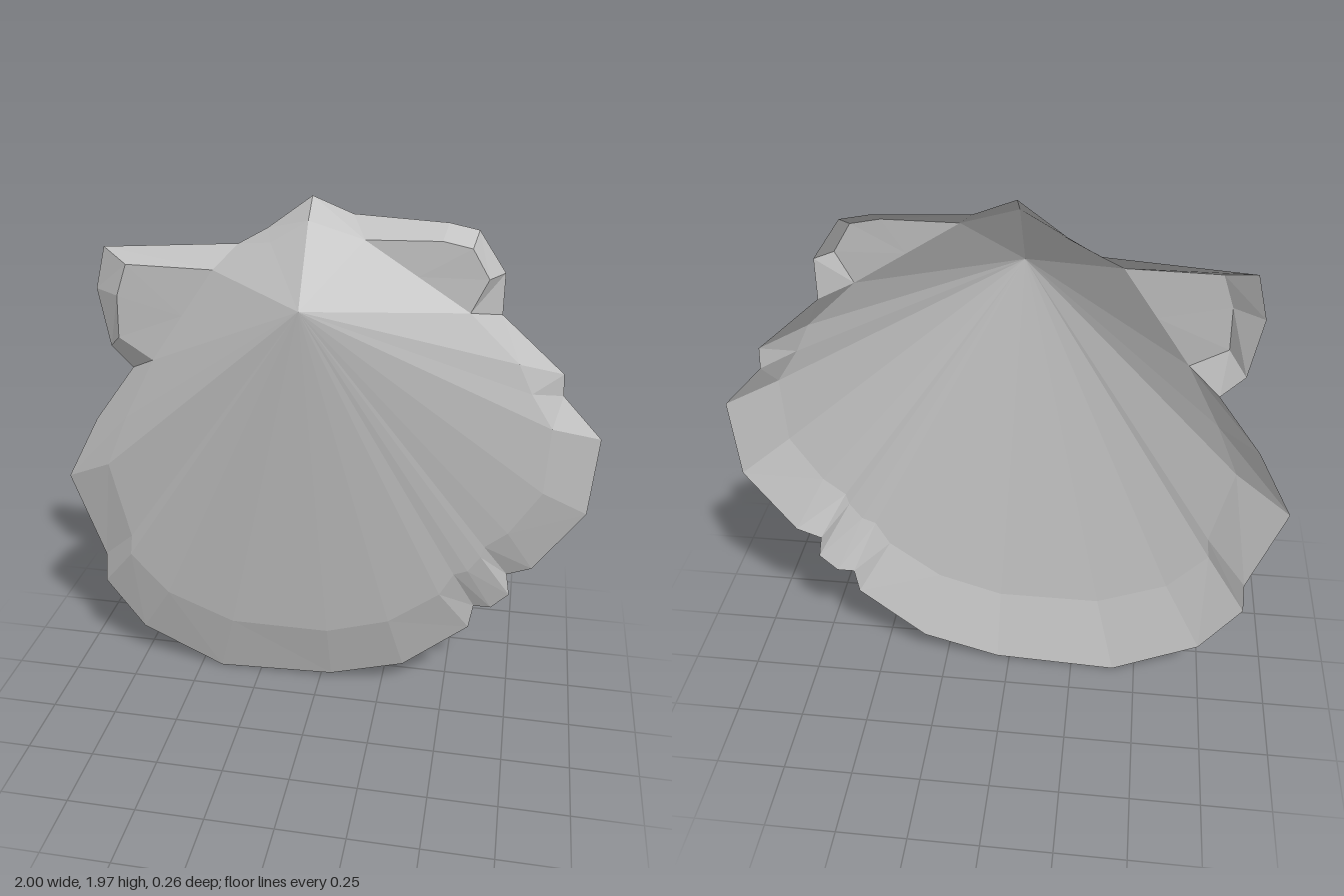
import * as THREE from 'three';

// Contour clockwise from the hinge tip: [rim x, rim y, shoulder x, shoulder y]
const contour = [
  [-0.03, 1.965, -0.03, 1.9], [0.11, 1.91, 0.16, 1.845],
  [0.43, 1.895, 0.415, 1.85], [0.53, 1.875, 0.515, 1.83], [0.625, 1.735, 0.575, 1.73], // left ear
  [0.625, 1.59, 0.52, 1.615], [0.85, 1.39, 0.695, 1.445], [0.855, 1.31, 0.745, 1.34],
  [1, 1.155, 0.825, 1.215], [0.98, 0.855, 0.815, 0.965], [0.805, 0.605, 0.705, 0.79],
  [0.715, 0.57, 0.625, 0.725], [0.73, 0.48, 0.615, 0.68], [0.665, 0.415, 0.57, 0.615],
  [0.6, 0.415, 0.52, 0.595], [0.585, 0.315, 0.47, 0.5], [0.335, 0.105, 0.28, 0.355],
  [0.045, 0.02, 0.04, 0.28], [-0.415, 0, -0.34, 0.28], [-0.74, 0.155, -0.6, 0.385],
  [-0.89, 0.36, -0.745, 0.545], [-0.88, 0.487, -0.735, 0.63], [-1, 0.83, -0.805, 0.935],
  [-0.865, 1.085, -0.72, 1.135], [-0.705, 1.305, -0.6, 1.37],
  [-0.783, 1.385, -0.725, 1.445], [-0.82, 1.6, -0.72, 1.6], [-0.78, 1.755, -0.68, 1.715], // right ear
  [-0.29, 1.79, -0.365, 1.715], [-0.185, 1.85, -0.16, 1.82],
];
const ears = [{ name: 'leftEar', from: 1, to: 5 }, { name: 'rightEar', from: 24, to: 28 }];
const apex = [-0.03, 1.645, 0.13];
const inEar = (i) => ears.some((e) => i > e.from && i < e.to);
const rim = contour.map(([x, y]) => [x, y, -0.13]);
const shoulder = contour.map(([, , x, y], i) => [x, y, inEar(i) ? -0.06 : -0.05]);

// Fan of triangles from a hub to a clockwise edge line
function fan(hub, line) {
  return line.slice(1).flatMap((p, i) => [hub, p, line[i]]);
}

export function createModel() {
  const group = new THREE.Group();
  const shellGrey = new THREE.MeshStandardMaterial({
    color: 0xbfbfbf, flatShading: true, side: THREE.DoubleSide,
  });
  shellGrey.name = 'shellGrey';

  function add(name, points) {
    const geometry = new THREE.BufferGeometry();
    geometry.setAttribute('position', new THREE.Float32BufferAttribute(points.flat(), 3));
    geometry.computeVertexNormals();
    const mesh = new THREE.Mesh(geometry, shellGrey);
    mesh.name = name;
    group.add(mesh);
  }

  // Ribbed dome fanning out from the beak, leaving the ears out
  const domeEdge = shoulder.filter((p, i) => !inEar(i));
  add('dome', fan(apex, [...domeEdge, domeEdge[0]]));

  // Flat ears beside the hinge
  for (const { name, from, to } of ears) {
    const edge = shoulder.slice(from, to + 1);
    const hub = [0, 1, 2].map((k) => (edge[0][k] + edge.at(-1)[k]) / 2);
    add(name, fan(hub, edge));
  }

  // Sloping border down to the open back
  add('border', rim.flatMap((p, i) => {
    const j = (i + 1) % rim.length;
    return [shoulder[i], shoulder[j], p, p, shoulder[j], rim[j]];
  }));
  return group;
}
